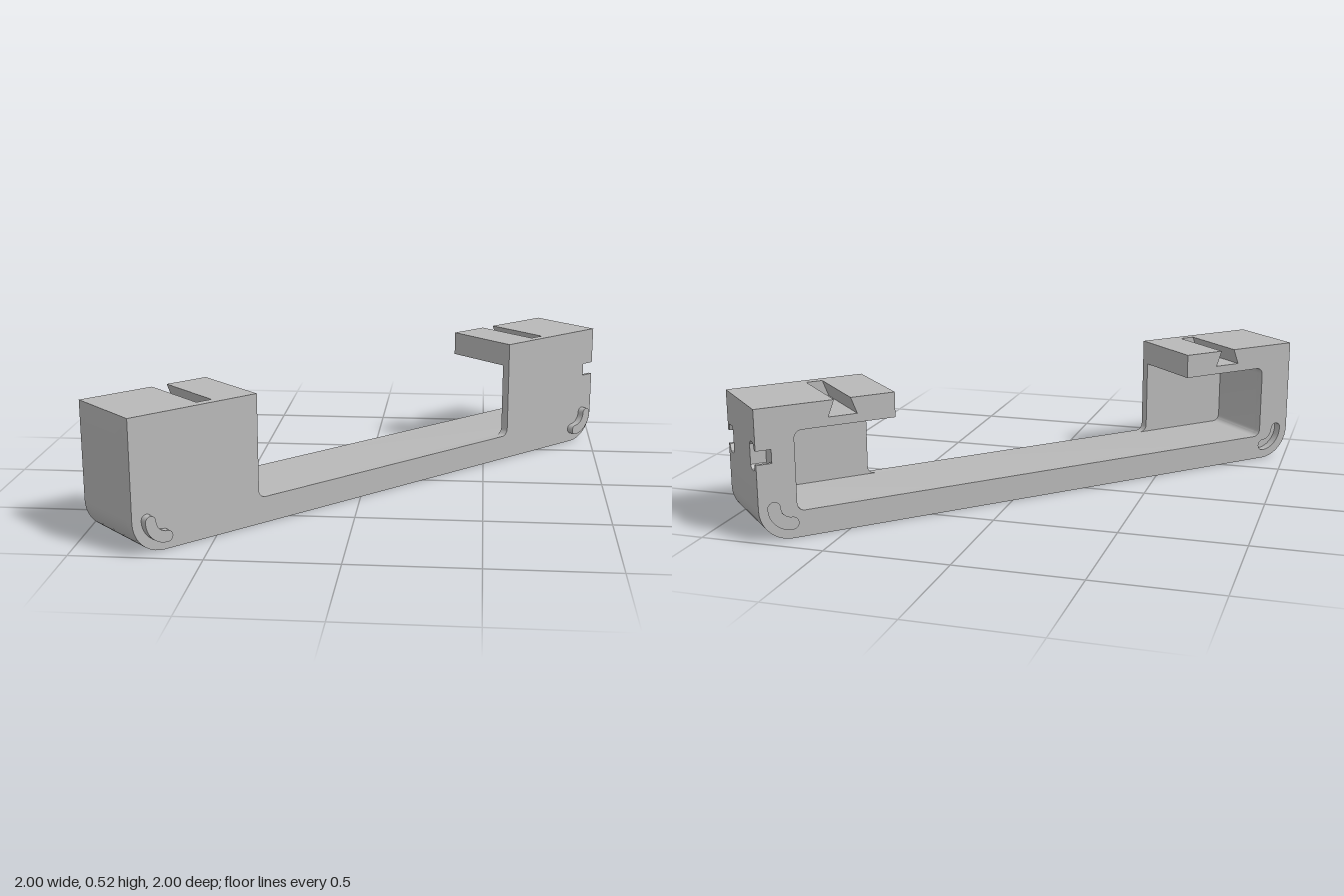
import * as THREE from 'three';
import { toCreasedNormals } from 'three/addons/utils/BufferGeometryUtils.js';

const HALF = 1.2405, W = 0.1735, TOP = 0.52, FLOOR = 0.105; // half length, half width, heights
const INNER = 0.682, POCKET = 1.09, UNDER = 0.42;           // block inner face, pocket end and roof
const CORNER = 0.13, FILLET = 0.03;
const CAP_U = 1.18, CAP_Y = 0.22;                           // where the notched end piece begins

// points along an arc, angles in degrees
function arc(cx, cy, r, a0, a1, n = 8) {
  const pts = [];
  for (let i = 0; i <= n; i++) {
    const a = THREE.MathUtils.degToRad(a0 + (a1 - a0) * i / n);
    pts.push([cx + r * Math.cos(a), cy + r * Math.sin(a)]);
  }
  return pts;
}

const toShape = (pts) => new THREE.Shape(pts.map(([x, y]) => new THREE.Vector2(x, y)));

// one half of the side outline, from the floor to the underside
function halfOutline(pocket, notchedEnd) {
  const pts = pocket
    ? [
      ...arc(POCKET - FILLET, FLOOR + FILLET, FILLET, -90, 0, 6),
      ...arc(POCKET - FILLET, UNDER - FILLET, FILLET, 0, 90, 6),
      [INNER, UNDER], [INNER, TOP],
      // dovetail slot in the top
      [0.862, TOP], [0.837, 0.455], [0.953, 0.455], [0.928, TOP],
    ]
    : [...arc(INNER - FILLET, FLOOR + FILLET, FILLET, -90, 0, 6), [INNER, TOP]];
  if (notchedEnd) pts.push([CAP_U, TOP], [CAP_U, CAP_Y], [HALF, CAP_Y]);
  else pts.push([HALF, TOP]);
  pts.push(...arc(HALF - CORNER, CORNER, CORNER, 0, -90, 10));
  return pts;
}

function bodyShape(pocket) {
  const left = halfOutline(pocket, false).map(([x, y]) => [-x, y]).reverse();
  return toShape([...halfOutline(pocket, true), ...left]);
}

// curved bean outline that follows the rounded bottom corner
function beanPoints(side, w) {
  const c = HALF - CORNER, r = 0.07;
  return [
    ...arc(c, CORNER, r + w, 0, -90),
    ...arc(c, CORNER - r, w, -90, -270).slice(1),
    ...arc(c, CORNER, r - w, -90, 0).slice(1),
    ...arc(c + r, CORNER, w, 180, 0).slice(1, -1),
  ].map(([x, y]) => [side * x, y]);
}

function extrude(shape, depth) {
  return new THREE.ExtrudeGeometry(shape, { depth, bevelEnabled: false, curveSegments: 8 });
}

export function createModel() {
  const model = new THREE.Group();
  const bar = new THREE.Group();
  bar.name = 'bracketBar';
  bar.rotation.y = Math.PI / 4;
  model.add(bar);

  const grey = new THREE.MeshStandardMaterial({ color: 0xb8b8b8 });
  grey.name = 'plainGrey';

  function add(name, geometry) {
    const mesh = new THREE.Mesh(toCreasedNormals(geometry, 0.5), grey);
    mesh.name = name;
    bar.add(mesh);
  }
  function slab(name, shape, z0, z1) {
    add(name, extrude(shape, z1 - z0).translate(0, 0, z0));
  }

  // body in layers across its width: socket layer, pocketed core, closed wall
  const socketZ = -W + 0.035, wallZ = 0.137;
  const socketLayer = bodyShape(true);
  for (const side of [-1, 1]) socketLayer.holes.push(toShape(beanPoints(side, 0.024)));
  slab('socketLayer', socketLayer, -W, socketZ);
  slab('pocketCore', bodyShape(true), socketZ, wallZ);
  slab('closedWall', bodyShape(false), wallZ, W);

  // raised bean pegs on the closed wall
  for (const side of [-1, 1]) {
    slab(side > 0 ? 'leftPeg' : 'rightPeg', toShape(beanPoints(side, 0.022)), W - 0.005, W + 0.03);
  }

  // end piece with a keyed notch in each side
  const midY = 0.333;
  const notch = [
    [W, midY - 0.027], [W - 0.014, midY - 0.027], [W - 0.026, midY - 0.055], [W - 0.055, midY - 0.055],
    [W - 0.067, midY - 0.04], [W - 0.067, midY + 0.04],
    [W - 0.055, midY + 0.055], [W - 0.026, midY + 0.055], [W - 0.014, midY + 0.027], [W, midY + 0.027],
  ];
  const end = toShape([
    [W, CAP_Y], ...notch, [W, TOP], [-W, TOP],
    ...notch.map(([z, y]) => [-z, y]).reverse(), [-W, CAP_Y],
  ]);
  add('notchedEnd', extrude(end, HALF - CAP_U).rotateY(Math.PI / 2).translate(CAP_U, 0, 0));

  return model;
}
